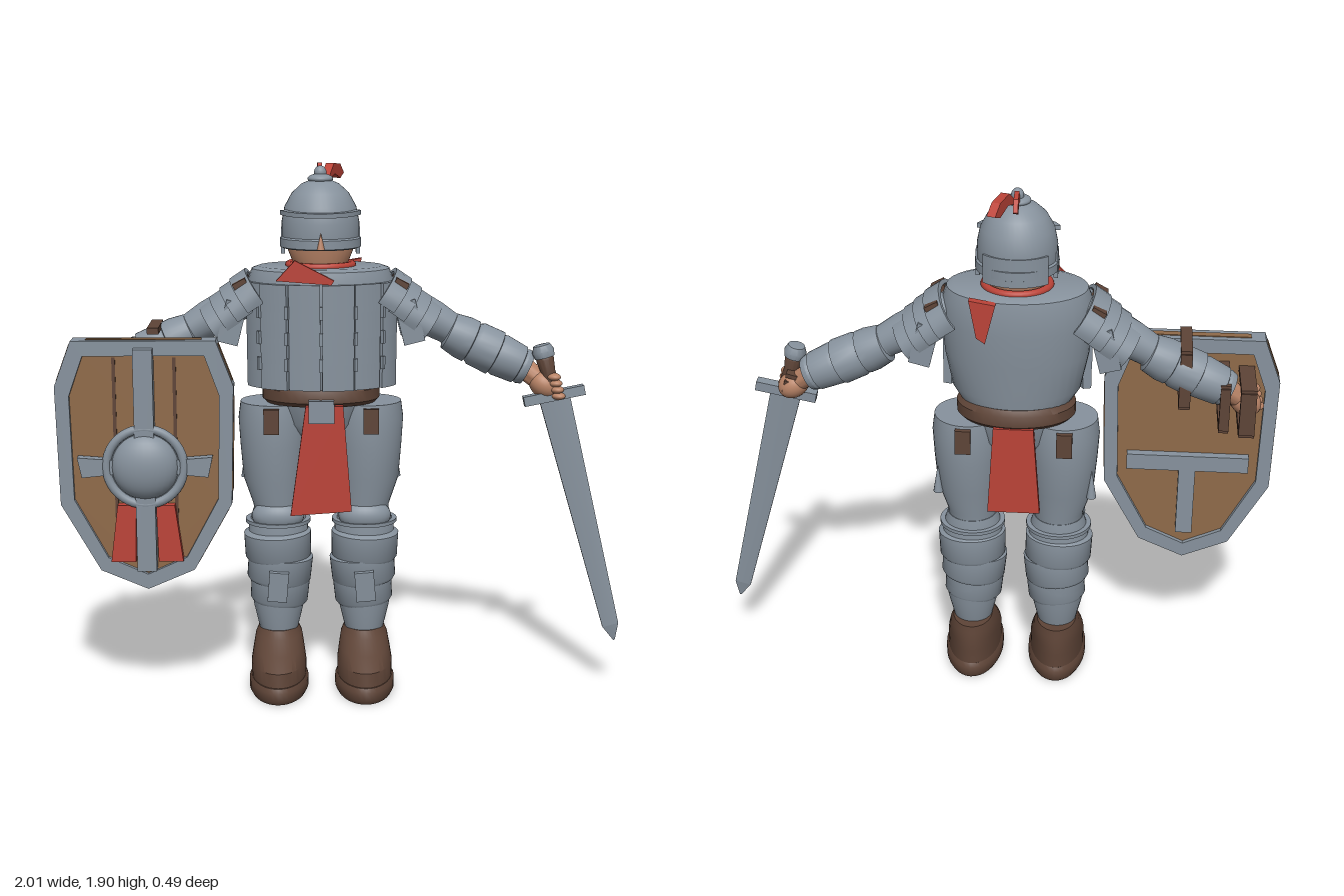
import * as THREE from 'three';
import { toCreasedNormals } from 'three/addons/utils/BufferGeometryUtils.js';

const C = -0.075; // x of the body's middle plane
const V = (x, y, z) => new THREE.Vector3(x, y, z);
const mat = (name, color) => Object.assign(new THREE.MeshStandardMaterial({ color }), { name });

export function createModel() {
  const root = new THREE.Group();
  root.name = 'armouredSwordsman';
  const steel = mat('steel', 0x87929d), leather = mat('leather', 0x5e4437), red = mat('red cloth', 0xbb4338);
  const skin = mat('skin', 0xb98467), wood = mat('wood', 0x8f6a49);

  const add = (name, geo, m, p = [0, 0, 0], r = [0, 0, 0], parent = root) => {
    const mesh = new THREE.Mesh(geo, m);
    mesh.name = name;
    mesh.position.set(...p);
    mesh.rotation.set(...r);
    parent.add(mesh);
    return mesh;
  };
  const box = (name, m, size, p, r, parent) => add(name, new THREE.BoxGeometry(...size), m, p, r, parent);
  const ball = (name, m, size, p, r, parent) => {
    const mesh = add(name, new THREE.SphereGeometry(1, 28, 18), m, p, r, parent);
    mesh.scale.set(...size);
    return mesh;
  };

  // stacked ellipses [y, cx, cz, rx, rz], capped at both ends
  const loft = (name, m, rows, p, r, n = 36) => {
    const pos = [], idx = [];
    rows.forEach(([y, cx, cz, rx, rz]) => {
      for (let i = 0; i < n; i++) {
        const t = i / n * Math.PI * 2;
        pos.push(cx + rx * Math.sin(t), y, cz + rz * Math.cos(t));
      }
    });
    const last = rows.length - 1, c0 = pos.length / 3;
    for (const k of [0, last]) pos.push(rows[k][1], rows[k][0], rows[k][2]);
    for (let i = 0; i < n; i++) {
      const j = (i + 1) % n;
      for (let k = 0; k < last; k++) {
        const a = k * n + i, b = k * n + j;
        idx.push(a, b, a + n, b, b + n, a + n);
      }
      idx.push(c0, j, i, c0 + 1, last * n + i, last * n + j);
    }
    const g = new THREE.BufferGeometry();
    g.setAttribute('position', new THREE.Float32BufferAttribute(pos, 3));
    g.setIndex(idx);
    return add(name, toCreasedNormals(g, 0.7), m, p, r);
  };

  // turned piece from a to b, profile [radius, fraction]
  const limb = (name, m, prof, a, b, parent) => {
    const len = a.distanceTo(b);
    const g = new THREE.LatheGeometry(prof.map(([r, t]) => new THREE.Vector2(r, t * len)), 28);
    const mesh = add(name, toCreasedNormals(g, 0.7), m, a.toArray(), undefined, parent);
    mesh.quaternion.setFromUnitVectors(V(0, 1, 0), b.clone().sub(a).normalize());
    return mesh;
  };

  // curved plate: elliptical arc with thickness t, extruded by h
  const arcPlate = (rx, ry, t, a0, a1, h, n = 16) => {
    const pts = [];
    for (let s = 0; s < 2; s++) for (let i = 0; i <= n; i++) {
      const a = s ? a1 + (a0 - a1) * i / n : a0 + (a1 - a0) * i / n;
      pts.push(new THREE.Vector2((rx - s * t) * Math.cos(a), (ry - s * t) * Math.sin(a)));
    }
    return toCreasedNormals(new THREE.ExtrudeGeometry(new THREE.Shape(pts), { depth: h, bevelEnabled: false }), 0.6);
  };
  const slab = (pts, depth, hole) => {
    const s = new THREE.Shape(pts.map(p => new THREE.Vector2(...p)));
    if (hole) s.holes.push(new THREE.Path(hole.map(p => new THREE.Vector2(...p))));
    return new THREE.ExtrudeGeometry(s, { depth, bevelEnabled: false });
  };

  // legs
  for (const s of [1, -1]) {
    const x = C + s * 0.157;
    loft('sole', leather, [[0, x, .033, .1, .195], [.015, x, .033, .108, .205], [.045, x, .033, .108, .205], [.06, x, .033, .1, .195]]);
    loft('boot', leather, [[.05, x, .03, .1, .192], [.11, x, .027, .1, .187], [.15, x, -.005, .093, .157],
      [.19, x, -.04, .085, .115], [.217, x, -.052, .072, .1]]);
    loft('shin', steel, [[.2, x, -.035, .068, .075], [.3, x, -.04, .092, .095], [.45, x, -.04, .11, .1],
      [.6, x, -.04, .108, .1], [.66, x, -.04, .09, .092]]);
    // overlapping greave bands
    [[.31, .105], [.39, .116], [.475, .12]].forEach(([y, r], i) =>
      loft('greaveBand', steel, [[0, 0, 0, r - .008, r - .012], [.012, 0, 0, r, r - .005], [.1, 0, 0, r + .002, r - .006], [.11, 0, 0, r - .015, r - .02]],
        [x, y, -.04], [.05, 0, s * (i === 2 ? -.03 : .09)]));
    loft('kneeRing', steel, [[.612, x, -.04, .118, .114], [.625, x, -.04, .118, .114]]);
    ball('kneeCap', steel, [.095, .06, .06], [x, .645, .01]);
    box('greavePlate', steel, [.07, .11, .025], [x, .395, .075], [.06, 0, s * .08]);
    const tx = x + s * .012;
    loft('thigh', steel, [[.62, x, -.04, .083, .088], [.68, x, -.04, .09, .092], [.78, tx, -.042, .112, .112],
      [.9, tx, -.045, .122, .122], [1.0, tx, -.045, .128, .127], [1.06, tx, -.045, .12, .12]]);
    const drop = add('thighStud', new THREE.ConeGeometry(.018, .11, 12), steel, [tx + s * .105, .82, -.1]);
    drop.scale.z = 1.2;
    for (const z of [.078, -.168]) box('hipPouch', leather, [.055, .09, .03], [C + s * .177, 1.005, z]);
  }

  // hips, belt and cloths
  loft('hips', steel, [[.93, C, -.04, .09, .09], [.99, C, -.04, .17, .12], [1.1, C, -.035, .19, .14]]);
  loft('belt', leather, [[1.06, C, -.035, .195, .14], [1.075, C, -.035, .21, .155], [1.115, C, -.035, .21, .155], [1.135, C, -.035, .19, .14]]);
  box('buckle', steel, [.09, .08, .04], [C, 1.05, .125]);
  const frontCloth = slab([[-.185, .675], [.032, .69], [.002, 1.07], [-.13, 1.07]], .03);
  add('frontCloth', frontCloth, red, [0, 0, .105]);
  add('backCloth', slab([[-.17, .74], [.015, .74], [-.005, 1.07], [-.145, 1.07]], .03), red, [0, 0, -.192]);

  // torso and scale rows
  loft('cuirass', steel, [[1.11, C, -.03, .185, .14], [1.17, C, -.025, .225, .152], [1.3, C, -.02, .252, .17], [1.42, C, -.02, .262, .181],
    [1.5, C, -.02, .258, .18], [1.54, C, -.022, .243, .172], [1.548, C, -.025, .22, .15]]);
  for (let row = 0; row < 4; row++) for (let i = 0; i < 6; i++) {
    const step = .44, a = -Math.PI / 2 - 3 * step + i * step, out = (i % 2) * .006 + (3 - row) * -.001;
    add('chestScale', arcPlate(.272 + out, .178 + out, .03, a + .012, a + step - .012, .096, 6), steel,
      [C, 1.13 + row * .091, -.01], [-Math.PI / 2, 0, 0]);
  }
  for (let row = 1; row < 4; row++) for (let i = 0; i < 5; i++) {
    const a = -.88 + i * .44;
    box('scaleTie', steel, [.012, .045, .012], [C + .28 * Math.sin(a), 1.13 + row * .091, -.01 + .185 * Math.cos(a)], [0, a, 0]);
  }
  add('frontScarf', slab([[-.23, 1.515], [-.04, 1.5], [-.03, 1.515], [-.165, 1.585]], .018), red, [0, 0, .15]);
  add('backScarf', slab([[.02, 1.4], [.05, 1.42], [.075, 1.555], [-.015, 1.54]], .03), red, [0, 0, -.212]);
  const collar = add('collar', new THREE.TorusGeometry(.112, .014, 10, 36), red, [C, 1.55, -.03], [Math.PI / 2, 0, 0]);
  collar.scale.y = .95;

  // head, helmet and plume
  loft('head', skin, [[1.53, C, -.03, .085, .085], [1.56, C, -.03, .098, .092], [1.61, C, -.03, .118, .105], [1.67, C, -.03, .118, .11]]);
  add('nose', new THREE.ConeGeometry(.014, .06, 10), skin, [C, 1.645, .108]);
  const dome = [[.132, 1.61], [.143, 1.615], [.143, 1.645], [.136, 1.65], [.137, 1.7], [.126, 1.755], [.1, 1.802], [.066, 1.833], [.03, 1.848], [.001, 1.852]];
  add('helmet', toCreasedNormals(new THREE.LatheGeometry(dome.map(p => new THREE.Vector2(...p)), 40), .7), steel, [C, 0, -.035]);
  add('browGuard', arcPlate(.148, .146, .022, -Math.PI * .9, -Math.PI * .1, .016, 24), steel, [C, 1.732, -.03], [-Math.PI / 2 + .06, 0, 0]);
  add('neckGuard', arcPlate(.15, .14, .018, .75, 2.4, .1, 14), steel, [C, 1.59, -.035], [-Math.PI / 2, 0, 0]);
  for (const s of [1, -1]) box('cheekPlate', steel, [.014, .09, .06], [C + s * .132, 1.635, -.04]);
  ball('crestKnob', steel, [.045, .018, .045], [C, 1.85, -.035]);
  ball('crestTip', steel, [.022, .025, .022], [C, 1.87, -.045]);
  const plumeSide = [[.05, 1.85], [.12, 1.9], [.2, 1.893], [.245, 1.86], [.2, 1.843], [.13, 1.862], [.06, 1.845]];
  [[.3, .03], [-.02, .016]].forEach(([turn, w], i) => {
    const g = slab(plumeSide.map(([z, y]) => [z * (i ? .8 : 1), y]), w).translate(0, 0, -w / 2);
    add('plume', g, red, [C, i * .002, 0], [0, Math.PI / 2 - turn, 0]);
  });

  // arms and shoulders
  for (const s of [1, -1]) {
    const P = (x, y, z) => V(C + s * (x - C), y, z);
    limb('upperArm', steel, [[.001, 0], [.05, .02], [.068, .25], [.066, .7], [.055, 1]], P(.12, 1.475, -.035), P(.41, 1.305, -.035));
    ball('elbow', steel, [.062, .062, .062], P(.4, 1.31, -.035).toArray());
    limb('forearm', steel, [[.045, 0], [.068, .03], [.078, .2], [.078, .3], [.07, .31], [.08, .36], [.082, .6], [.072, .61],
      [.077, .65], [.07, .9], [.062, .91], [.066, .94], [.06, 1], [.001, 1.001]], P(.375, 1.315, -.036), P(.665, 1.175, -.025));
    limb('wrist', skin, [[.04, 0], [.036, 1]], P(.65, 1.18, -.025), P(.72, 1.125, 0));
    ball('hand', skin, [.06, .048, .052], P(.725, 1.12, 0).toArray(), [0, 0, -s * .6]);
    for (let i = 0; i < 4; i++)
      ball('finger', skin, [.024, .014, .03], P(.752 + i * .006, 1.155 - i * .023, .035).toArray(), [0, s * .4, 0]);
    // layered shoulder plates
    const up = V(s * .56, .83, 0).normalize();
    for (let i = 0; i < 4; i++) {
      const g = arcPlate(.15 - i * .008, .1 - i * .004, .016, -.25 - i * .05, Math.PI + .25 + i * .05, .065).translate(0, 0, -.0325);
      const plate = add('shoulderPlate', g, steel, P(.165 + i * .038, 1.435 - i * .029, -.03).toArray());
      plate.quaternion.setFromRotationMatrix(new THREE.Matrix4().makeBasis(V(0, 0, 1), up, V(0, 0, 1).cross(up)));
    }
    for (const z of [.085, -.145]) {
      box('shoulderTab', steel, [.075, .15, .02], P(.235, 1.36, z).toArray(), [0, 0, s * .25]);
      box('shoulderBuckle', leather, [.05, .03, .05], P(.205, 1.49, z * .75 - .005).toArray(), [0, 0, -s * .5]);
    }
  }

  // sword in the left hand
  const sword = new THREE.Group();
  sword.name = 'sword';
  sword.position.set(.757, 1.085, .02);
  sword.rotation.set(-.037, 0, .258);
  root.add(sword);
  box('guard', steel, [.22, .035, .04], [0, 0, 0], [0, 0, -.06], sword);
  const blade = new THREE.CylinderGeometry(.078, .042, .88, 4, 1).rotateY(Math.PI / 4).scale(1, 1, .17);
  const tip = new THREE.CylinderGeometry(.042, .004, .06, 4, 1).rotateY(Math.PI / 4).scale(1, 1, .17);
  add('blade', blade.toNonIndexed(), steel, [0, -.44, 0], undefined, sword);
  add('bladeTip', tip.toNonIndexed(), steel, [0, -.91, 0], undefined, sword);
  limb('grip', leather, [[.024, 0], [.03, .3], [.026, .55], [.032, .9], [.025, 1]], V(0, .01, 0), V(0, .15, 0), sword);
  limb('pommel', steel, [[.001, 0], [.036, .05], [.04, .5], [.03, .95], [.001, 1]], V(0, .14, 0), V(0, .19, 0), sword);
  for (let i = 0; i < 3; i++) box('gripWrap', leather, [.05, .016, .05], [-.015, .03 + i * .03, -.035], undefined, sword);

  // shield on the right arm
  const shield = new THREE.Group();
  shield.name = 'shield';
  shield.position.set(-.69, .87, 0);
  root.add(shield);
  const half = [[.25, .44], [.31, .28], [.3, -.14], [.165, -.38], [0, -.45]];
  const outline = [...half, ...half.slice(0, 4).reverse().map(([x, y]) => [-x, y])].reverse();
  const inner = outline.map(([x, y]) => [x * .84, y * .88]);
  add('shieldRim', slab(outline, .08, inner), steel, [0, 0, .09], undefined, shield);
  add('shieldBoard', slab(inner, .045), wood, [0, 0, .108], undefined, shield);
  outline.forEach(([x, y], i) => {
    const [u, v] = outline[(i + 1) % outline.length];
    box('edgeInlay', wood, [Math.hypot(u - x, v - y) * .8, .006, .03], [(x + u) / 2, (y + v) / 2, .13], [0, 0, Math.atan2(v - y, u - x)], shield);
  });
  for (const x of [-.105, .105]) box('boardGroove', leather, [.012, .76, .006], [x, 0, .154], undefined, shield);
  box('verticalBar', steel, [.068, .79, .05], [0, .02, .18], undefined, shield);
  for (const s of [1, -1]) {
    add('crossArm', slab([[s * .1, -.025], [s * .22, -.037], [s * .235, .035], [s * .1, .025]], .04), steel, [0, 0, .16], undefined, shield);
    add('redPanel', slab([[s * .035, -.14], [s * .1, -.14], [s * .127, -.345], [s * .04, -.345]], .034), red, [0, 0, .153], undefined, shield);
  }
  add('bossRing', new THREE.TorusGeometry(.135, .016, 12, 40), steel, [0, 0, .19], undefined, shield);
  add('bossPlate', new THREE.CylinderGeometry(.135, .135, .04, 40), steel, [0, 0, .17], [Math.PI / 2, 0, 0], shield);
  ball('boss', steel, [.118, .118, .068], [0, 0, .182], undefined, shield);
  box('rearCrossBar', steel, [.44, .06, .04], [0, -.05, .095], undefined, shield);
  box('rearUprightBar', steel, [.06, .28, .04], [0, -.2, .095], undefined, shield);

  // hand grip and arm strap behind the shield
  for (const [x, w, y, h] of [[-.88, .055, 1.115, .16], [-.8, .035, 1.13, .16], [-.66, .04, 1.235, .2]]) {
    const grip = new THREE.Group();
    grip.name = 'shieldStrap';
    grip.position.set(x, y, 0);
    root.add(grip);
    for (const s of [1, -1]) box('strapLeg', leather, [w, .022, .21], [0, s * h / 2, .01], undefined, grip);
    box('strapBar', leather, [w, h, .022], [0, 0, -.09], undefined, grip);
  }
  return root;
}
